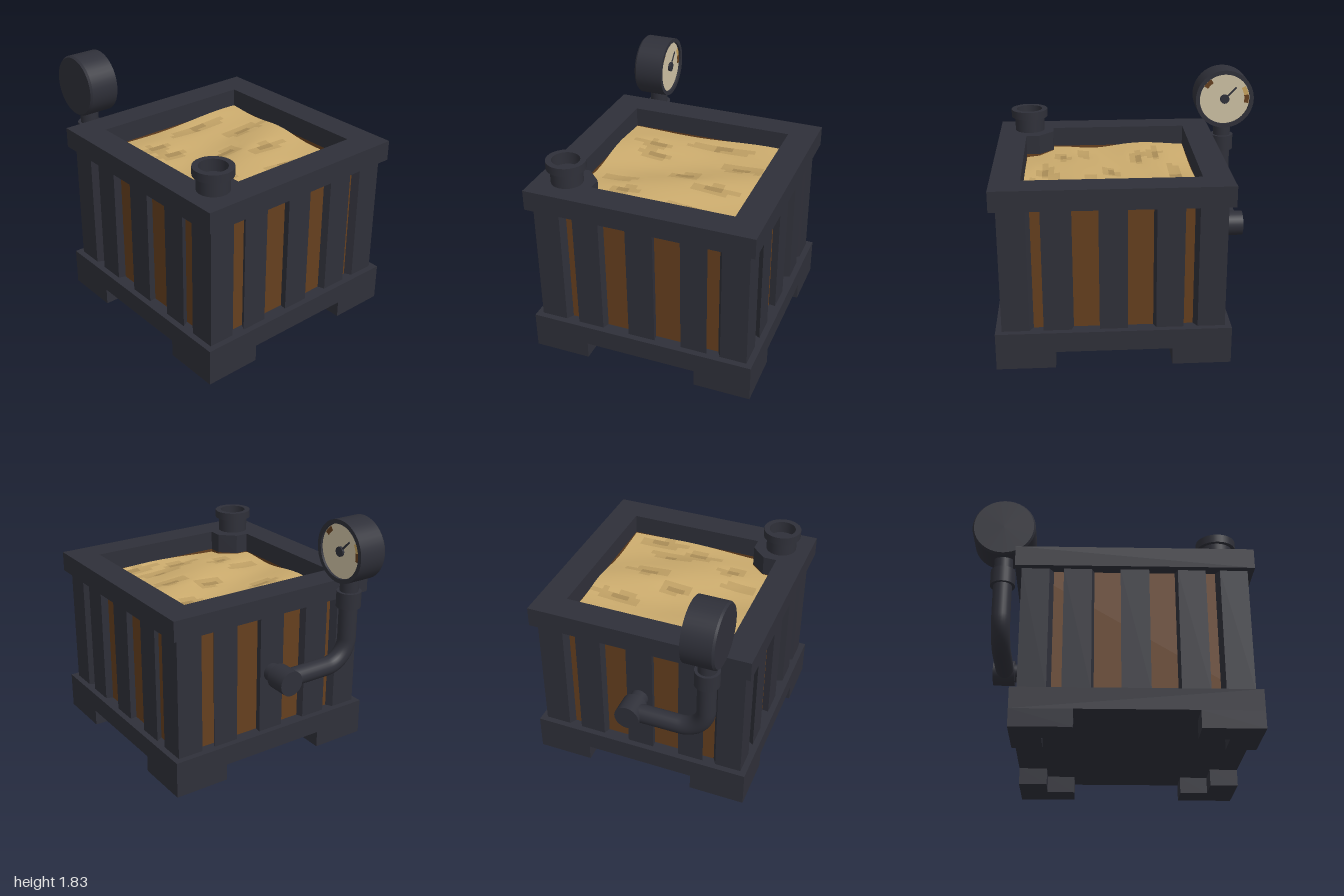
import * as THREE from 'three';

const paint = (name, color) => {
  const m = new THREE.MeshStandardMaterial({ color });
  m.name = name;
  return m;
};

export function createModel() {
  const iron = paint('dark iron', 0x2f3039);
  const wood = paint('brown wood', 0x653f1e);
  const cream = paint('cream dial', 0xcec1a4);
  const sandTones = [
    paint('sand', 0xcbab6d),
    paint('sand mid', 0xbd9e63),
    paint('sand shade', 0xa88b56),
  ];
  const gold = paint('gold mark', 0xc8a35e);

  const model = new THREE.Group();
  model.name = 'sandCrate';
  const crate = new THREE.Group();
  crate.name = 'crate';
  crate.position.z = 0.167;
  model.add(crate);

  const add = (name, geo, mat, parent = crate) => {
    const m = new THREE.Mesh(geo, mat);
    m.name = name;
    parent.add(m);
    return m;
  };
  const pts = (list) => list.map(([x, z]) => new THREE.Vector2(x, z));
  // Upright prism from an [x, z] outline, between two heights
  const prism = (outline, y0, y1, hole) => {
    const s = new THREE.Shape(pts(outline));
    if (hole) s.holes.push(new THREE.Path(pts(hole)));
    return new THREE.ExtrudeGeometry(s, { depth: y1 - y0, bevelEnabled: false })
      .rotateX(Math.PI / 2).translate(0, y1, 0);
  };
  const square = (r) => [[-r, -r], [r, -r], [r, r], [-r, r]];

  // Base slab and four L-shaped feet
  add('baseSlab', new THREE.BoxGeometry(1.67, 0.15, 1.67).translate(0, 0.2, 0), iron);
  const foot = prism([[0.835, 0.835], [0.415, 0.835], [0.415, 0.625],
    [0.625, 0.625], [0.625, 0.415], [0.835, 0.415]], 0, 0.125);
  for (let i = 0; i < 4; i++) add('foot', foot, iron).rotation.y = i * Math.PI / 2;

  // Wooden walls and iron rim share an opening with one cut corner
  const opening = [[-0.627, -0.627], [0.625, -0.627], [0.625, 0.623],
    [-0.417, 0.623], [-0.417, 0.522], [-0.527, 0.415], [-0.627, 0.415]];
  add('woodWalls', prism(square(0.74), 0.275, 1.19, opening), wood);
  add('rim', prism(square(0.835), 1.19, 1.34, opening), iron);

  // Iron corner posts and slats, their sides tapering towards the centre
  const post = prism([[0.79, 0.79], [0.595, 0.79], [0.56, 0.73], [0.73, 0.73],
    [0.73, 0.56], [0.79, 0.595]], 0.275, 1.19);
  const slat = (a, b) => prism([[a, 0.79], [b, 0.79], [b * 0.935, 0.735], [a * 0.935, 0.735]], 0.275, 1.19);
  const slats = [slat(-0.495, -0.3), slat(-0.1, 0.1), slat(0.3, 0.495)];
  for (let i = 0; i < 4; i++) {
    const side = new THREE.Group();
    side.name = 'ironSide';
    side.rotation.y = i * Math.PI / 2;
    crate.add(side);
    add('cornerPost', post, iron, side);
    slats.forEach((g) => add('slat', g, iron, side));
  }

  // Sand: rippled grid with wide, shallow darker patches [x, z, width]
  const patches = [[0.13, -0.5, 0.2], [0.4, -0.25, 0.15], [-0.36, -0.37, 0.12], [-0.3, -0.24, 0.12],
    [0.03, -0.02, 0.11], [0.28, 0.12, 0.15], [0, 0.48, 0.12], [0.36, 0.55, 0.16],
    [-0.3, 0.34, 0.1], [0.22, 0.4, 0.14], [-0.42, 0.18, 0.1]];
  const shade = (x, z) => patches.reduce((s, [px, pz, w]) =>
    s + Math.exp(-(((x - px) / w) ** 2) - ((z - pz) / 0.045) ** 2), 0);
  const n = 28;
  const sand = new THREE.PlaneGeometry(1.26, 1.26, n, n).rotateX(-Math.PI / 2);
  const p = sand.attributes.position;
  for (let i = 0; i < p.count; i++) {
    const x = p.getX(i), z = p.getZ(i);
    p.setY(i, 1.185 + 0.012 * Math.sin(5 * x + 2 * Math.sin(4 * z))
      + 0.01 * Math.sin(9 * z + 3 * x) - 0.012 * shade(x, z));
  }
  sand.computeVertexNormals();
  for (let r = 0; r < n; r++) {
    for (let c = 0; c < n; c++) {
      const x = ((c + 0.5) / n - 0.5) * 1.26, z = ((r + 0.5) / n - 0.5) * 1.26;
      const d = shade(x, z) + 0.12 * Math.sin(c * 1.3 + 2 * Math.sin(r * 2.1));
      sand.addGroup((r * n + c) * 6, 6, d > 0.75 ? 2 : d > 0.25 ? 1 : 0);
    }
  }
  add('sand', sand, sandTones);

  // Filler neck with a hollow collar; each profile run is doubled at its edges
  const neck = [[0.115, 1.33], [0.115, 1.45], [0.142, 1.45], [0.142, 1.51],
    [0.1, 1.51], [0.1, 1.42], [0, 1.42]];
  const filler = new THREE.Group();
  filler.name = 'fillerNeck';
  filler.position.set(-0.612, 0, 0.6);
  crate.add(filler);
  for (let i = 0; i < neck.length - 1; i++) {
    add('neckSection', new THREE.LatheGeometry(pts([neck[i], neck[i + 1]]), 28), iron, filler);
  }

  // Pipe from the back wall, bending up to the gauge
  const py = 0.735, pz = -0.94, px = -0.565, bend = 0.19;
  const rod = (r, len) => new THREE.CylinderGeometry(r, r, len, 28);
  add('wallStub', rod(0.068, 0.18).rotateX(Math.PI / 2).translate(0, py, -0.82), iron);
  add('pipeFitting', rod(0.094, 0.16).rotateX(Math.PI / 2).translate(0, py, -0.948), iron);
  const V = (x, y) => new THREE.Vector3(x, y, pz);
  const route = new THREE.CurvePath();
  route.add(new THREE.LineCurve3(V(-0.03, py), V(px + bend, py)));
  route.add(new THREE.CubicBezierCurve3(V(px + bend, py), V(px + bend * 0.45, py),
    V(px, py + bend * 0.45), V(px, py + bend)));
  route.add(new THREE.LineCurve3(V(px, py + bend), V(px, 1.42)));
  add('pipe', new THREE.TubeGeometry(route, 48, 0.068, 24), iron);
  add('pipeCollar', rod(0.09, 0.12).translate(px, 1.228, pz), iron);

  // Pressure gauge: drum, bezel and dial, built facing +z then turned to +x
  const gauge = new THREE.Group();
  gauge.name = 'gauge';
  gauge.position.set(px, 1.6, pz);
  gauge.rotation.y = Math.PI / 2;
  crate.add(gauge);
  const drum = [[0, -0.115], [0.218, -0.115], [0.23, -0.1], [0.23, 0.115], [0.198, 0.115], [0.198, 0.095]];
  for (let i = 0; i < drum.length - 1; i++) {
    add('gaugeDrum', new THREE.LatheGeometry(pts([drum[i], drum[i + 1]]), 40).rotateX(Math.PI / 2), iron, gauge);
  }
  add('dial', new THREE.CircleGeometry(0.2, 40).translate(0, 0, 0.097), cream, gauge);
  const mark = (name, from, to, mat) => {
    const rad = Math.PI / 180;
    add(name, new THREE.RingGeometry(0.157, 0.193, 6, 1, from * rad, (to - from) * rad)
      .translate(0, 0, 0.1), mat, gauge);
  };
  mark('lowMark', 125, 148, wood);
  mark('warningMark', 10, 32, gold);
  mark('highMark', -11, 10, wood);
  add('needle', new THREE.BoxGeometry(0.13, 0.012, 0.006).translate(0.065, 0, 0.104), iron, gauge)
    .rotation.z = Math.PI / 4;
  add('needleHub', rod(0.036, 0.018).rotateX(Math.PI / 2).translate(0, 0, 0.105), iron, gauge);

  return model;
}
